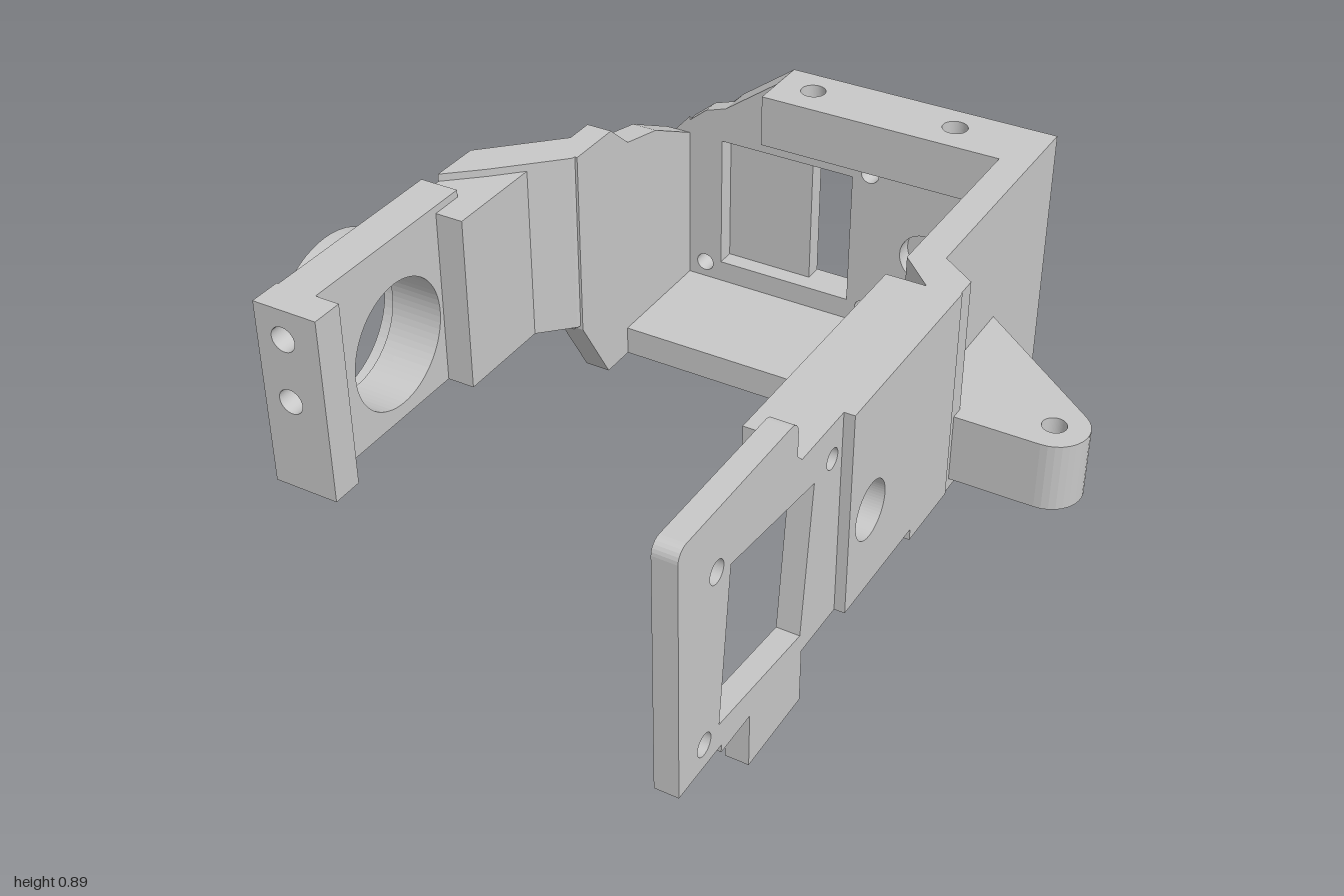
import * as THREE from 'three';
import { ConvexGeometry } from 'three/addons/geometries/ConvexGeometry.js';

export function createModel() {
  const model = new THREE.Group();
  const grey = new THREE.MeshStandardMaterial({ color: 0xc8c8c8 });
  grey.name = 'grey';

  const add = (name, geometry) => {
    const mesh = new THREE.Mesh(geometry, grey);
    mesh.name = name;
    model.add(mesh);
    return mesh;
  };
  const toPoints = (pts) => pts.map(([a, b]) => new THREE.Vector2(a, b));
  const toHole = (h) => (Array.isArray(h[0]) ? new THREE.Path(toPoints(h))
    : new THREE.Path().absarc(h[0], h[1], h[2], 0, Math.PI * 2, true));
  // Outlines are made anticlockwise so that hole walls face inward
  const extrude = (pts, holes, depth) => {
    const outline = toPoints(pts);
    if (THREE.ShapeUtils.isClockWise(outline)) outline.reverse();
    const shape = new THREE.Shape(outline);
    shape.holes = holes.map(toHole);
    return new THREE.ExtrudeGeometry(shape, { depth, bevelEnabled: false, curveSegments: 32 });
  };
  // Outline in (x, y), from z0 to z1
  const frontal = (name, pts, z0, z1, holes = []) =>
    add(name, extrude(pts, holes, z1 - z0).translate(0, 0, z0));
  // Outline in (z, y), from x0 to x1
  const lateral = (name, pts, x0, x1, holes = []) => {
    const flip = (p) => [-p[0], ...p.slice(1)];
    const flipped = holes.map((h) => (Array.isArray(h[0]) ? h.map(flip) : flip(h)));
    return add(name, extrude(pts.map(flip), flipped, x1 - x0).rotateY(Math.PI / 2).translate(x0, 0, 0));
  };
  // Outline in (x, z), from y0 to y1
  const plan = (name, pts, y0, y1, holes = []) =>
    add(name, extrude(pts, holes, y1 - y0).rotateX(Math.PI / 2).translate(0, y1, 0));
  const rect = (a0, b0, a1, b1) => [[a0, b0], [a1, b0], [a1, b1], [a0, b1]];
  const box = (name, x0, x1, y0, y1, z0, z1) =>
    add(name, new THREE.BoxGeometry(x1 - x0, y1 - y0, z1 - z0)
      .translate((x0 + x1) / 2, (y0 + y1) / 2, (z0 + z1) / 2));
  const arc = (cx, cy, r, a0, a1, n = 12) => Array.from({ length: n + 1 }, (_, i) => {
    const a = a0 + (a1 - a0) * i / n;
    return [cx + r * Math.cos(a), cy + r * Math.sin(a)];
  });
  const PI = Math.PI;

  // Back wall in two layers: slot through, wide pocket and round recess inside
  const wallBase = [[0.48, 0.05], [0.48, 0.64], [-0.26, 0.64], [-0.26, 0.78], [-0.41, 0.67]];
  const screws = [[0.02, 0.59, 0.025], [0.02, 0.175, 0.025], [-0.47, 0.175, 0.025]];
  frontal('backWallOuter', [[-0.54, 0.05], ...wallBase, [-0.49, 0.59], [-0.54, 0.465]], -1, -0.95,
    [rect(-0.17, 0.19, -0.03, 0.57), ...screws]);
  frontal('backWallInner', [[-0.53, 0.05], ...wallBase, [-0.47, 0.65], [-0.53, 0.6]], -0.95, -0.9,
    [rect(-0.42, 0.19, -0.03, 0.57), [0.19, 0.38, 0.072], ...screws]);
  plan('topLip', rect(-0.26, -1, 0.48, -0.82), 0.64, 0.78,
    [[-0.16, -0.915, 0.033], [0.24, -0.915, 0.033]]);
  box('floor', -0.57, 0.45, 0.05, 0.13, -0.91, -0.56);

  // Foot boss under the floor
  plan('footBoss', arc(0.19, -0.92, 0.08, 0, PI * 2 * 47 / 48, 47), 0, 0.055, [[0.19, -0.92, 0.03]]);

  // Bevelled corner between the back wall and the side wall
  const corner = [];
  for (const [x, z, top] of [[-0.54, -1, 0.465], [-0.59, -0.9, 0.54], [-0.52, -0.9, 0.62], [-0.52, -1, 0.52]]) {
    corner.push(new THREE.Vector3(x, 0.05, z), new THREE.Vector3(x, top, z));
  }
  add('bevelledCorner', new ConvexGeometry(corner));

  // Side wall on the lens side, with an uneven top edge
  lateral('lensSideWall', [[-0.9, 0.05], [-0.46, 0.05], [-0.34, 0.25], [-0.34, 0.76], [-0.5, 0.76],
    [-0.58, 0.69], [-0.72, 0.66], [-0.9, 0.57]], -0.59, -0.52);
  plan('lensSideJog', [[-0.59, -0.42], [-0.52, -0.36], [-0.53, -0.33], [-0.68, -0.18],
    [-0.77, -0.1], [-0.77, -0.24]], 0.26, 0.76);
  box('lensSideBlock', -0.77, -0.61, 0.26, 0.74, -0.2, 0.03);
  box('lensSideBlockRear', -0.7, -0.61, 0.26, 0.74, -0.25, -0.2);
  plan('smallEar', [[-0.57, -0.6], [-0.59, -0.6], ...arc(-0.625, -0.415, 0.085, -PI * 0.8, -PI * 1.5),
    [-0.54, -0.33]], 0.25, 0.43, [[-0.625, -0.415, 0.03]]);

  // Lens plate, stepped ring with a flat underside, and end cap
  const ly = 0.47, lz = 0.213, flat = Math.asin(0.21 / 0.242);
  lateral('lensPlate', rect(-0.06, 0.26, 0.49, 0.76), -0.79, -0.685, [[lz, ly, 0.17]]);
  const ringOutline = arc(lz, ly, 0.242, -flat, PI + flat, 48);
  lateral('lensRingBase', ringOutline, -0.83, -0.785, [[lz, ly, 0.17]]);
  lateral('lensRingRim', ringOutline, -0.877, -0.83, [[lz, ly, 0.2]]);
  frontal('endCap', rect(-0.795, 0.26, -0.62, 0.76), 0.488, 0.573,
    [[-0.72, 0.68, 0.033], [-0.72, 0.51, 0.033]]);

  // Opposite side wall: rear, outward jog, middle and thin front panel
  lateral('rearSideWall', [[-1, 0.05], [-0.46, 0.05], [-0.31, 0.22], [-0.31, 0.78], [-0.9, 0.78],
    [-0.9, 0.64], [-1, 0.64]], 0.4, 0.48);
  plan('sideJog', [[0.4, -0.34], [0.48, -0.33], [0.57, -0.265], [0.57, -0.2], [0.49, -0.2],
    [0.4, -0.29]], 0.22, 0.78);
  lateral('middleSideWall', [[-0.21, 0.22], [-0.01, 0.22], [-0.01, 0.25], [0.325, 0.25],
    [0.325, 0.78], [-0.21, 0.78]], 0.49, 0.573, [[0.22, 0.465, 0.072]]);
  const panel = [[0.325, 0.25], [0.48, 0.25], [0.48, 0.11], [0.71, 0.11], [0.71, 0.25], [0.83, 0.25],
    [0.83, 0.27], [1, 0.27], ...arc(0.97, 0.86, 0.03, 0, PI / 2, 6),
    ...arc(0.56, 0.86, 0.03, PI / 2, PI, 6), [0.53, 0.8], [0.51, 0.78], [0.325, 0.78]];
  lateral('frontPanel', panel, 0.49, 0.547, [
    [[0.8, 0.72], [0.45, 0.68], [0.49, 0.3], [0.84, 0.335]],
    [0.855, 0.74, 0.027], [0.9, 0.33, 0.027], [0.37, 0.69, 0.025]]);
  box('topRail', 0.39, 0.49, 0.725, 0.78, -0.2, 0.47);
  box('bottomRail', 0.43, 0.49, 0.22, 0.27, -0.24, -0.01);

  // Large mounting ear
  plan('largeEar', [[0.43, -0.29], [0.47, -0.29], [0.47, -0.67], [0.48, -0.67],
    ...arc(0.785, -0.315, 0.085, -PI * 0.28, PI / 2), [0.43, -0.23]], 0.25, 0.43, [[0.785, -0.315, 0.03]]);

  return model;
}
